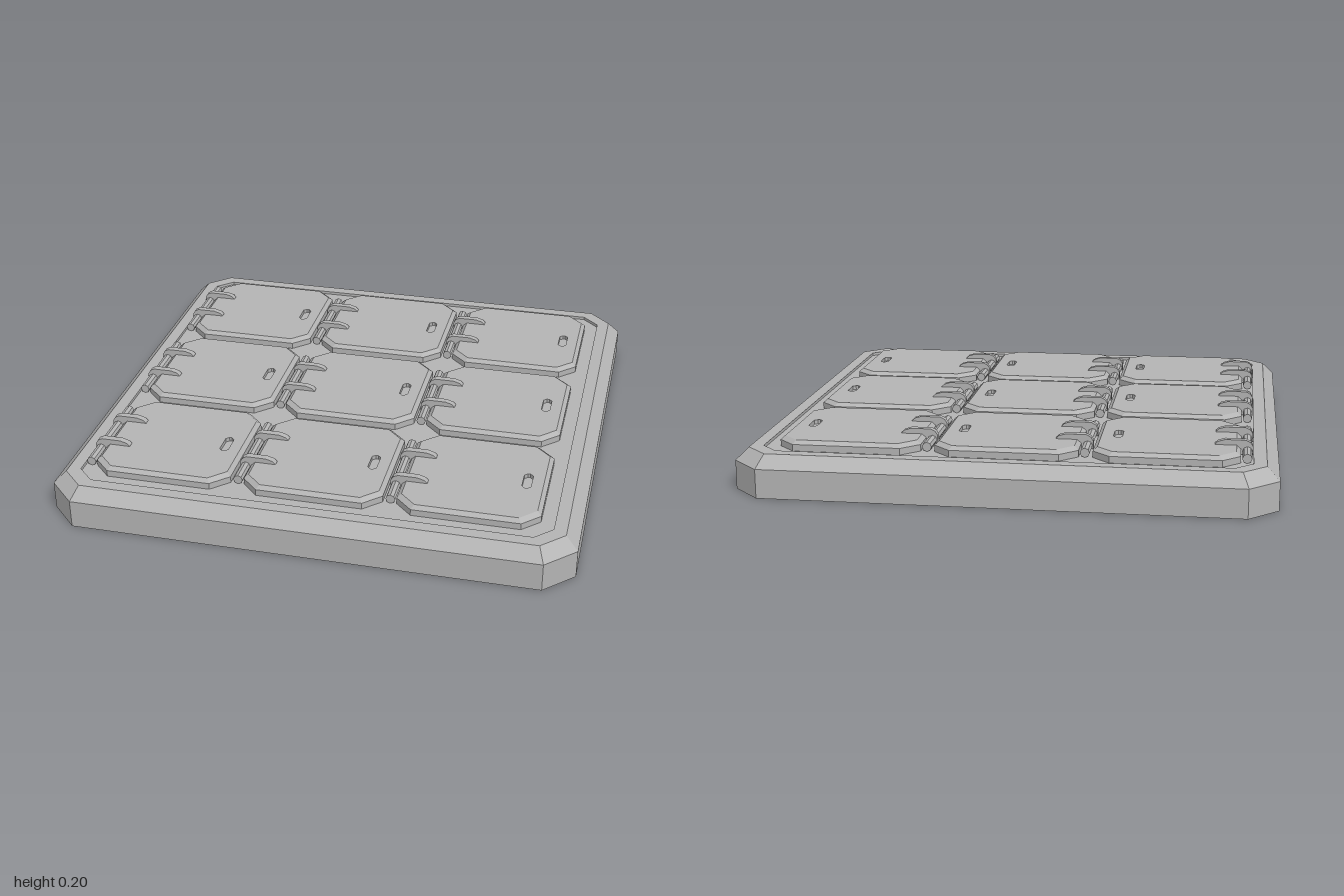
import * as THREE from 'three';
import { mergeGeometries } from 'three/addons/utils/BufferGeometryUtils.js';

// Rectangle with cut corners, counter-clockwise seen from above
function octagon(hx, hz, cut, cx = 0) {
  return [
    [hx, -hz + cut], [hx, hz - cut], [hx - cut, hz], [-hx + cut, hz],
    [-hx, hz - cut], [-hx, -hz + cut], [-hx + cut, -hz], [hx - cut, -hz],
  ].map(([x, y]) => new THREE.Vector2(x + cx, y));
}

// Walls between successive rings; each ring is { pts, y }
function loft(rings) {
  const pos = [];
  const put = (p, y) => pos.push(p.x, y, -p.y);
  for (let k = 0; k < rings.length - 1; k++) {
    const a = rings[k], b = rings[k + 1], n = a.pts.length;
    for (let i = 0; i < n; i++) {
      const j = (i + 1) % n;
      put(a.pts[i], a.y); put(a.pts[j], a.y); put(b.pts[j], b.y);
      put(a.pts[i], a.y); put(b.pts[j], b.y); put(b.pts[i], b.y);
    }
  }
  const g = new THREE.BufferGeometry();
  g.setAttribute('position', new THREE.Float32BufferAttribute(pos, 3));
  g.computeVertexNormals();
  return g;
}

// Flat horizontal face, optionally with a hole, facing up or down
function cap(pts, y, hole, down = false) {
  const shape = new THREE.Shape(pts);
  if (hole) shape.holes.push(new THREE.Path(hole));
  const g = new THREE.ShapeGeometry(shape).toNonIndexed();
  g.deleteAttribute('uv');
  g.rotateX(down ? Math.PI / 2 : -Math.PI / 2);
  return g.translate(0, y, 0);
}

export function createModel() {
  const model = new THREE.Group();
  model.name = 'hatchPanel';
  const grey = new THREE.MeshStandardMaterial({ color: 0xb4b4b4, flatShading: true });
  grey.name = 'plainGrey';

  const add = (parent, name, geometry, x = 0, y = 0, z = 0) => {
    const mesh = new THREE.Mesh(geometry, grey);
    mesh.name = name;
    mesh.position.set(x, y, z);
    parent.add(mesh);
    return mesh;
  };

  // Base slab: upright sides, bevel, flat rim and sunken floor
  const floorY = 0.145;
  const baseRings = [
    [1, 0.11, 0], [1, 0.11, 0.11], [0.953, 0.085, 0.157],
    [0.905, 0.065, 0.157], [0.905, 0.065, floorY],
  ].map(([h, cut, y]) => ({ pts: octagon(h, h, cut), y }));
  add(model, 'base', mergeGeometries([
    loft(baseRings),
    cap(baseRings[0].pts, 0, null, true),
    cap(baseRings[4].pts, floorY),
  ]));

  // Hatch lid: bevelled plate with a sunken finger slot
  const lidRings = [
    [0.268, 0.065, floorY], [0.268, 0.065, 0.17], [0.252, 0.06, 0.184],
  ].map(([h, cut, y]) => ({ pts: octagon(h, h, cut), y }));
  const slot = octagon(0.017, 0.05, 0.012, 0.19);
  const lidGeometry = mergeGeometries([
    loft(lidRings),
    cap(lidRings[2].pts, 0.184, slot),
    loft([{ pts: slot, y: 0.184 }, { pts: slot, y: 0.168 }]),
    cap(slot, 0.168),
  ]);

  // Hinge rod, lying along z
  const rodGeometry = new THREE.CylinderGeometry(0.018, 0.018, 0.41, 8).rotateX(Math.PI / 2);

  // Hinge strap: arched side profile
  const strapGeometry = new THREE.ExtrudeGeometry(new THREE.Shape([
    [-0.312, 0.15], [-0.172, 0.15], [-0.172, 0.185], [-0.183, 0.196], [-0.21, 0.204],
    [-0.285, 0.204], [-0.303, 0.195], [-0.312, 0.18],
  ].map(([x, y]) => new THREE.Vector2(x, y))), { depth: 0.026, bevelEnabled: false });
  strapGeometry.translate(0, 0, -0.013);

  // Three by three hatches
  for (let row = -1; row <= 1; row++) {
    for (let col = -1; col <= 1; col++) {
      const hatch = new THREE.Group();
      hatch.name = 'hatch';
      hatch.position.set(col * 0.588 - 0.003, 0, row * 0.588 - 0.005);
      add(hatch, 'lid', lidGeometry);
      add(hatch, 'hingeRod', rodGeometry, -0.291, 0.162, 0);
      for (const s of [-1, 1]) add(hatch, 'hingeStrap', strapGeometry, 0, 0, s * 0.091);
      model.add(hatch);
    }
  }
  return model;
}
